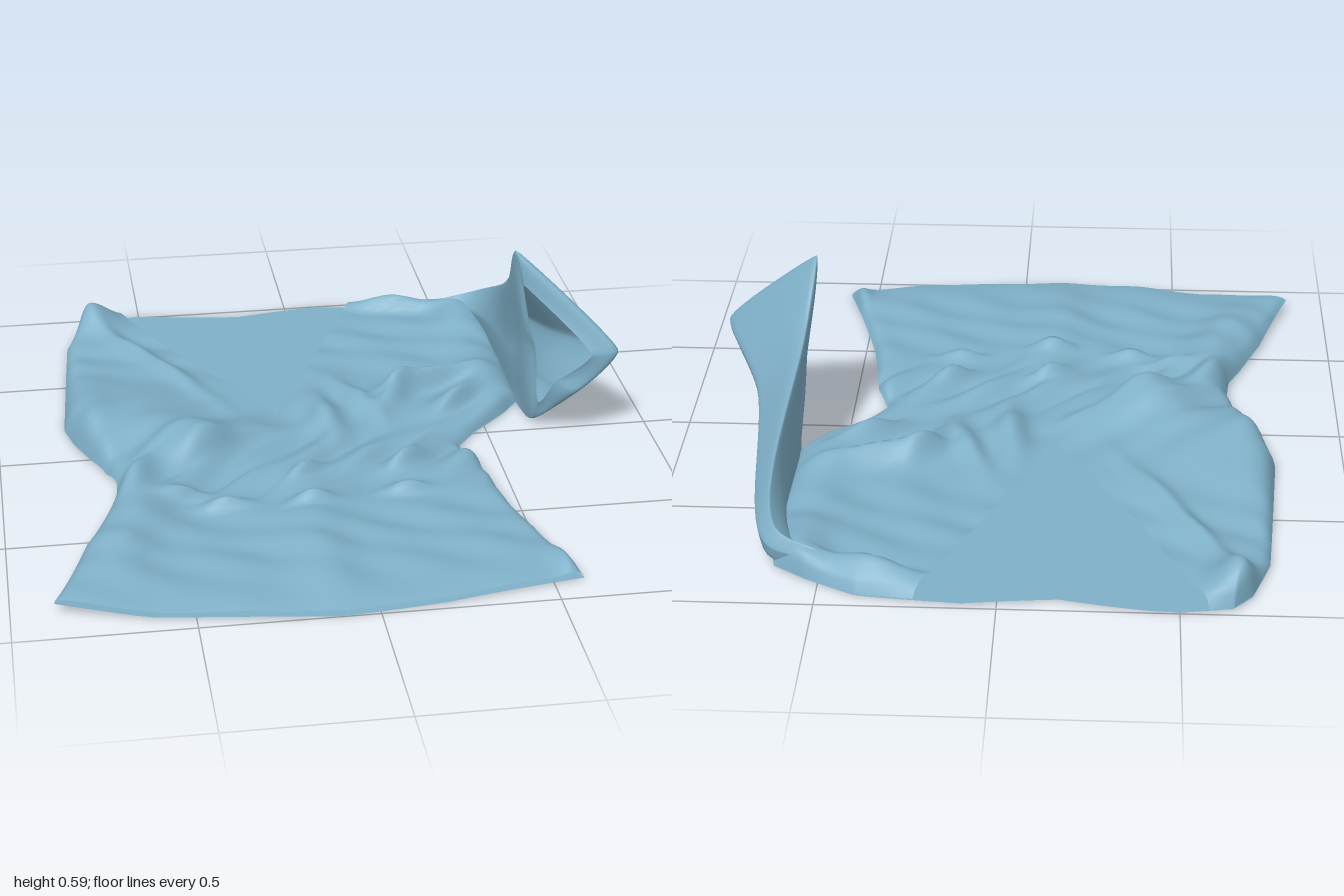
import * as THREE from 'three';
import { ParametricGeometry } from 'three/addons/geometries/ParametricGeometry.js';

const cloth = new THREE.MeshStandardMaterial({ color: 0x7fb0c8, roughness: 0.9, side: THREE.DoubleSide });

// piecewise-linear lookup through [position, value] pairs
function lookup(pairs, t) {
  if (t <= pairs[0][0]) return pairs[0][1];
  for (let i = 1; i < pairs.length; i++) {
    const [a, va] = pairs[i - 1], [b, vb] = pairs[i];
    if (t <= b) return va + (vb - va) * (t - a) / (b - a);
  }
  return pairs[pairs.length - 1][1];
}
const lerp = THREE.MathUtils.lerp;

// outline of the garment lying flat: side edges by row w (-1 shoulder, 1 hem)
const rightSide = [[-1, -0.70], [-0.8, -0.755], [-0.2, -0.795], [-0.1, -0.77], [0.1, -0.69], [0.2, -0.66],
  [0.3, -0.67], [0.6, -0.78], [1, -0.88]];
const leftSide = [[-1, 0.63], [-0.8, 0.65], [-0.2, 0.64], [-0.12, 0.58], [0, 0.46], [0.1, 0.39],
  [0.2, 0.43], [0.5, 0.47], [1, 0.59]];
const shoulderLine = [[0, 0.92], [0.04, 0.98], [0.15, 1], [0.22, 0.99], [0.4, 0.95], [0.6, 0.985],
  [0.82, 0.95], [0.93, 0.88], [1, 0.82]];
const hemLine = [[0, 0.87], [0.15, 0.925], [0.33, 0.97], [0.52, 1], [0.73, 0.975], [1, 0.9]];
// V neck edges, meeting at w = -0.15 and continuing as the centre front
const neckRight = [[-1, -0.58], [-0.62, -0.4], [-0.15, -0.14]];
const neckLeft = [[-1, 0.23], [-0.55, 0.04], [-0.15, -0.14]];

// folds: x, z, height, length, width, angle
const softFolds = [
  [-0.72, -0.15, 0.03, 0.07, 0.2, 0], [-0.62, 0.28, 0.05, 0.06, 0.13, -0.3],
  [-0.64, 0.53, 0.05, 0.09, 0.26, -0.35], [0, -0.1, 0.05, 0.05, 0.16, 0.1],
  [0.12, -0.2, 0.035, 0.035, 0.14, 0.35], [0.24, -0.2, 0.05, 0.04, 0.13, -0.5],
  [0.55, -0.3, 0.035, 0.08, 0.2, 0], [0.55, -0.75, 0.045, 0.08, 0.14, 0],
  [-0.66, -0.9, 0.06, 0.08, 0.08, 0], [-0.52, -0.6, 0.03, 0.035, 0.35, 0.5],
  [-0.12, 0.6, 0.03, 0.09, 0.3, 0], [0.56, 0.84, 0.05, 0.04, 0.1, 0],
];
// folds that drop steeply toward the hem
const steepFolds = [
  [-0.4, 0.1, 0.1, 0.13, 0.14, 0.56], [-0.6, -0.1, 0.06, 0.22, 0.35, 0],
  [-0.22, 0, 0.035, 0.1, 0.08, 0.56], [0.37, -0.27, 0.07, 0.15, 0.05, 0.3],
  [0.43, -0.13, 0.06, 0.1, 0.05, 0.7], [0.35, -0.87, 0.05, 0.14, 0.05, -0.25],
];
// gathered pleats around the waist
for (const [x, z] of [[0.2, 0.24], [0.18, 0.4], [-0.1, 0.27], [-0.11, 0.45], [-0.36, 0.42], [-0.47, 0.36]])
  steepFolds.push([x, z, 0.035, 0.065, 0.035, z < 0.3 ? 0.5 : 0.05]);

function foldHeight(folds, steepness, x, z) {
  let h = 0;
  for (const [fx, fz, height, length, width, angle] of folds) {
    const c = Math.cos(angle), s = Math.sin(angle), dx = x - fx, dz = z - fz;
    const a = (dx * c - dz * s) / length, across = dx * s + dz * c;
    const b = across / (width * (across > 0 ? steepness : 1));
    h += height * Math.exp(-a * a - b * b);
  }
  return h;
}

function outlinePoint(x, w) {
  const L = lookup(rightSide, w), R = lookup(leftSide, w), u = (x - L) / (R - L);
  const edge = lookup(w < 0 ? shoulderLine : hemLine, u);
  return { z: w * lerp(1, edge, w * w), side: Math.max(0, Math.min(x - L, R - x)) };
}
const waist = z => Math.exp(-(((z - 0.2) / 0.13) ** 2));

function backHeight(x, z) {
  const corner = Math.max(0, -x - 0.6) * Math.max(0, z - 0.4) * 0.2;
  return 0.01 + corner + 0.003 * Math.sin(9 * x + 5 * z) + 0.018 * waist(z) * Math.abs(Math.sin(17 * x + 21 * z));
}

function frontHeight(x, z, w, side) {
  const seam = 1 - Math.exp(-side / 0.016);
  const ends = (1 - Math.exp(-(1 + w) / 0.014)) * (1 - 0.6 * Math.exp(-(1 - w) / 0.08));
  const wrinkle = 0.006 * Math.sin(21 * x + 6 * Math.sin(5 * z)) * Math.sin(13 * z + 4 * x)
    + 0.01 * waist(z) * Math.sin(38 * x + 25 * z);
  const puff = 0.03 + foldHeight(softFolds, 1, x, z) + foldHeight(steepFolds, 0.45, x, z) + wrinkle;
  return backHeight(x, z) + 0.004 + seam * ends * Math.max(0.008, puff);
}

function clothMesh(name, geometry) {
  geometry.computeVertexNormals();
  const mesh = new THREE.Mesh(geometry, cloth);
  mesh.name = name;
  return mesh;
}

// a cloth sheet spanning two side curves
function sheet(name, from, to, front, columns, rows) {
  return clothMesh(name, new ParametricGeometry((u, v, target) => {
    const w = 2 * v - 1, x = lerp(lookup(from, w), lookup(to, w), u);
    const { z, side } = outlinePoint(x, w);
    target.set(x, front ? frontHeight(x, z, w, side) : backHeight(x, z), z);
  }, columns, rows));
}

// raised sleeve: closed sections strung between five rails, the cuff edge turned inward
function raisedSleeve() {
  const rails = [
    // underside, lower cuff corner, outer fold, top fold, inner face
    [[0.5, 0.02, -0.82], [0.61, 0.01, -0.76], [0.63, 0.01, -0.2], [0.65, 0.02, -0.05], [0.66, 0.1, 0]],
    [[0.54, 0.03, -0.84], [0.65, 0.03, -0.79], [0.7, 0.09, -0.2], [0.75, 0.17, 0.09], [0.7, 0.2, 0.06]],
    [[0.55, 0.06, -0.85], [0.66, 0.08, -0.8], [0.75, 0.25, -0.2], [0.87, 0.32, 0.12], [0.79, 0.31, 0.12]],
    [[0.5, 0.08, -0.84], [0.63, 0.13, -0.79], [0.6, 0.44, -0.2], [0.58, 0.6, -0.03], [0.6, 0.5, 0]],
    [[0.46, 0.05, -0.82], [0.58, 0.07, -0.77], [0.62, 0.2, -0.2], [0.62, 0.3, -0.04], [0.64, 0.3, 0]],
  ].map(r => new THREE.CatmullRomCurve3(r.map(p => new THREE.Vector3(...p))));
  return clothMesh('raisedSleeve', new ParametricGeometry((u, v, target) => {
    const section = new THREE.CatmullRomCurve3(rails.map(r => r.getPoint(v)), true, 'catmullrom', 0.2);
    section.getPoint(u, target);
    // soft creases, fading toward the shoulder
    target.x += 0.006 * v * Math.sin(u * Math.PI * 10) * Math.sin(v * 9);
    target.y = Math.max(0.003, target.y);
  }, 45, 60));
}

export function createModel() {
  const blouse = new THREE.Group();
  blouse.name = 'blouse';
  blouse.add(
    sheet('backPanel', rightSide, leftSide, false, 70, 90),
    sheet('rightFrontPanel', rightSide, neckRight, true, 70, 150),
    sheet('leftFrontPanel', neckLeft, leftSide, true, 70, 150),
    raisedSleeve(),
  );
  return blouse;
}
